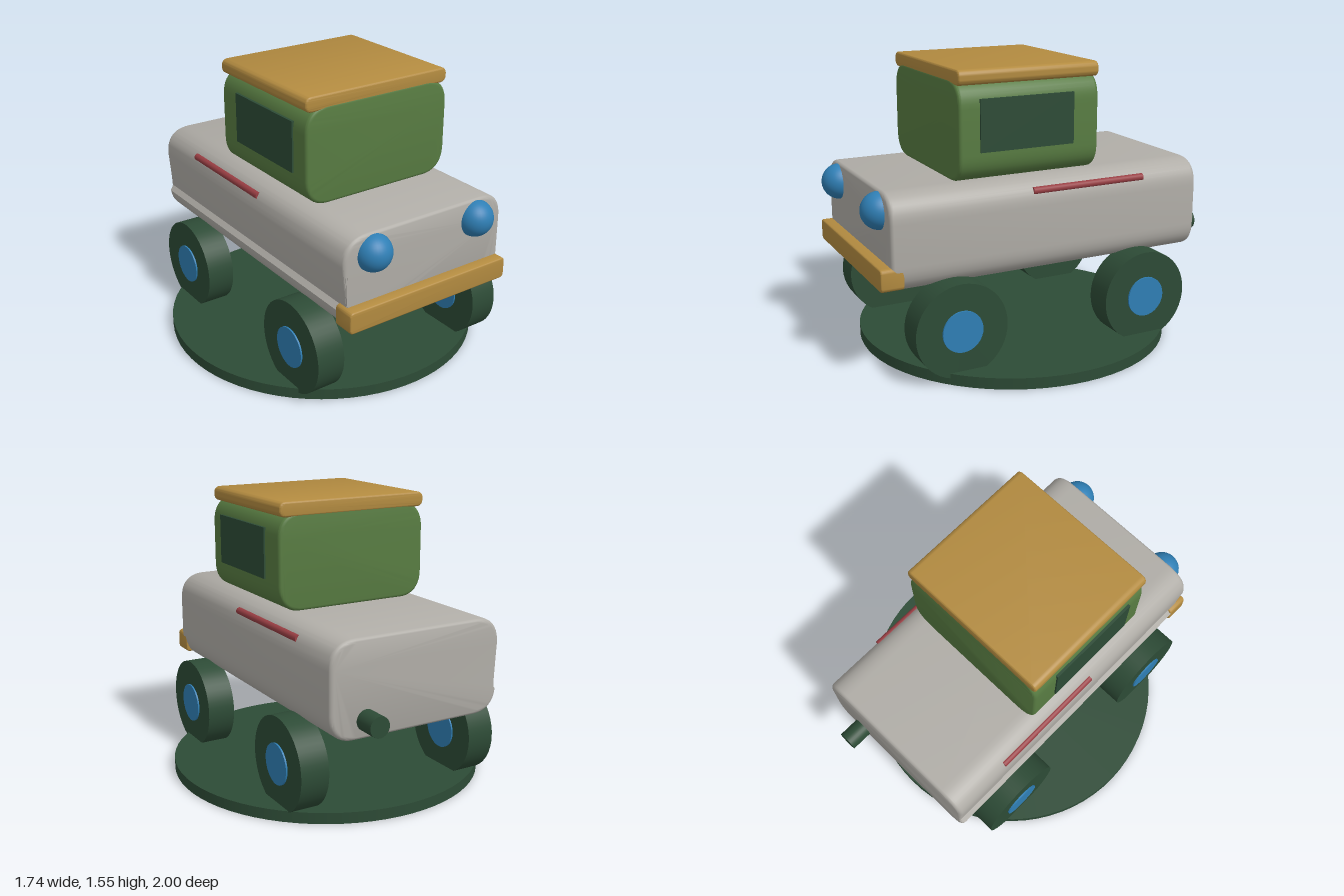
import * as THREE from 'three';
import { toCreasedNormals } from 'three/addons/utils/BufferGeometryUtils.js';

const mat = (name, color) => {
  const m = new THREE.MeshStandardMaterial({ color });
  m.name = name;
  return m;
};

// Block with rounded cross-section (radius r) and softened front and back rims (bevel b).
// notch pulls in one point low on the right side, leaving a crease along the flank.
function roundedBlock(w, h, d, r, b, notch = false) {
  const X = w / 2 - b, Y = h / 2 - b, N = 10, STEPS = 5;
  const outline = [];
  [[1, 1], [-1, 1], [-1, -1], [1, -1]].forEach(([sx, sy], corner) => {
    for (let k = 0; k <= N; k++) {
      const t = (corner % 2 ? N - k : k) / N;
      const len = Math.hypot(1 - t, t);
      const out = notch && corner === 2 && k === 0 ? 0 : 1;
      outline.push({
        x: sx * (X - r * t * t), y: sy * (Y - r * (1 - t) * (1 - t)),
        nx: out * sx * (1 - t) / len, ny: out * sy * t / len,
      });
    }
  });

  // Rings run from the front rim to the back rim
  const rings = [];
  for (let k = 0; k <= STEPS; k++) {
    const a = (k / STEPS) * Math.PI / 2;
    rings.push([b * Math.sin(a), d / 2 - b + b * Math.cos(a)]);
  }
  for (let k = STEPS; k >= 0; k--) rings.push([rings[k][0], -rings[k][1]]);

  const pos = [], idx = [], M = outline.length;
  for (const [off, z] of rings)
    for (const p of outline) pos.push(p.x + p.nx * off, p.y + p.ny * off, z);
  for (let j = 0; j < rings.length - 1; j++)
    for (let i = 0; i < M; i++) {
      const n = (i + 1) % M, a = j * M, c = a + M;
      idx.push(a + i, c + i, c + n, a + i, c + n, a + n);
    }
  const last = (rings.length - 1) * M;
  for (let i = 1; i < M - 1; i++) {
    idx.push(0, i, i + 1);
    idx.push(last, last + i + 1, last + i);
  }
  const g = new THREE.BufferGeometry();
  g.setAttribute('position', new THREE.Float32BufferAttribute(pos, 3));
  g.setIndex(idx);
  return toCreasedNormals(g, 0.5);
}

export function createModel() {
  const darkGreen = mat('dark green', 0x2d4b36);
  const green = mat('leaf green', 0x587c42);
  const grey = mat('warm grey', 0xb0ada7);
  const ochre = mat('ochre', 0xb38b40);
  const blue = mat('blue', 0x2f7fb5);
  const red = mat('red', 0x983e43);

  const model = new THREE.Group();
  model.name = 'toyCar';
  const add = (name, geometry, material, x, y, z) => {
    const m = new THREE.Mesh(geometry, material);
    m.name = name;
    m.position.set(x, y, z);
    model.add(m);
    return m;
  };

  // Display base
  add('base', new THREE.CylinderGeometry(0.868, 0.868, 0.06, 72), darkGreen, 0, 0.03, 0.015);

  // Body, cab and roof
  add('body', roundedBlock(1.006, 0.51, 1.79, 0.12, 0.025, true), grey, 0, 0.73, 0.015);
  add('cab', roundedBlock(0.885, 0.52, 0.795, 0.12, 0.02), green, 0, 1.24, 0.122);
  add('roof', roundedBlock(0.88, 0.08, 0.795, 0.025, 0.012), ochre, -0.003, 1.514, 0.12);

  // Front bumper
  add('bumper', roundedBlock(1.004, 0.118, 0.123, 0.015, 0.01), ochre, 0, 0.566, 0.906);

  // Exhaust pipe
  add('exhaust', new THREE.CylinderGeometry(0.055, 0.055, 0.2, 32), darkGreen, 0.3, 0.573, -0.9)
    .rotation.x = Math.PI / 2;

  const tyre = new THREE.CylinderGeometry(0.25, 0.25, 0.157, 48);
  const hub = new THREE.CylinderGeometry(0.11, 0.11, 0.175, 32);
  const lamp = new THREE.SphereGeometry(0.097, 32, 24);
  const strip = new THREE.CylinderGeometry(0.02, 0.02, 0.665, 20);
  const pane = new THREE.BoxGeometry(0.02, 0.27, 0.53);

  for (const [side, s] of [['left', 1], ['right', -1]]) {
    // Lamps, side windows and trim
    add(side + 'Headlight', lamp, blue, s * 0.326, 0.877, 0.903);
    add(side + 'Window', pane, darkGreen, s * 0.441, 1.273, 0.142);
    add(side + 'Trim', strip, red, s * 0.478, 0.918, -0.203).rotation.x = Math.PI / 2;

    // Wheels
    for (const [end, z] of [['Front', 0.58], ['Rear', -0.507]]) {
      add(side + end + 'Tyre', tyre, darkGreen, s * 0.511, 0.274, z).rotation.z = Math.PI / 2;
      add(side + end + 'Hub', hub, blue, s * 0.511, 0.274, z).rotation.z = Math.PI / 2;
    }
  }
  return model;
}
